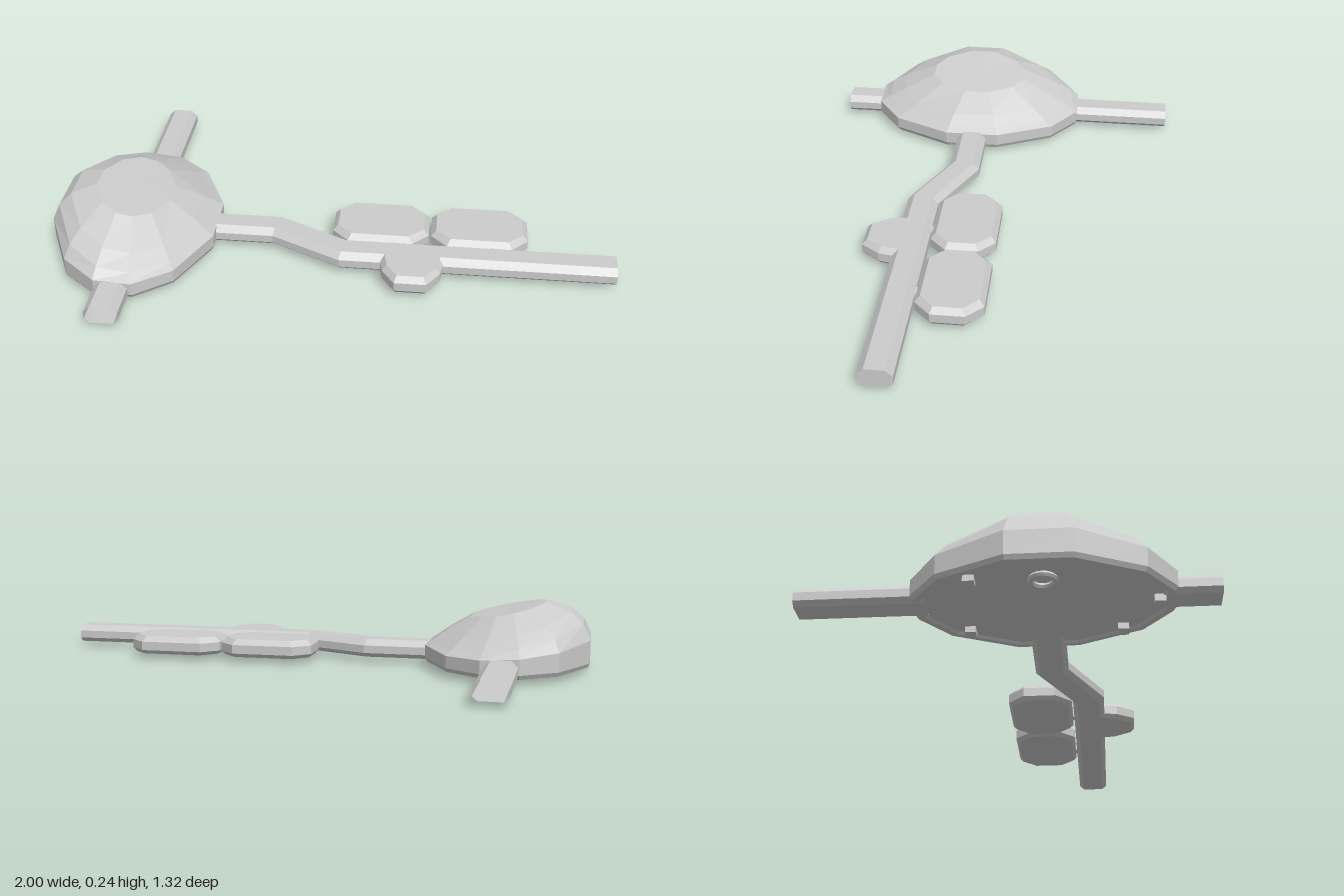
import * as THREE from 'three';

const material = new THREE.MeshStandardMaterial({ color: 0xcccccc, flatShading: true, side: THREE.DoubleSide });

function addMesh(group, name, geometry) {
  const mesh = new THREE.Mesh(geometry, material);
  mesh.name = name;
  group.add(mesh);
  return mesh;
}

// Skin rings of Vector3, each counterclockwise seen from the end of the stack.
function loft(rings, capStart, capEnd) {
  const pos = [];
  const tri = (a, b, c) => [a, b, c].forEach(p => pos.push(p.x, p.y, p.z));
  const n = rings[0].length;
  const cap = (ring, flip) => {
    const mid = ring.reduce((s, p) => s.add(p), new THREE.Vector3()).divideScalar(n);
    ring.forEach((p, i) => {
      const q = ring[(i + 1) % n];
      if (flip) tri(mid, q, p); else tri(mid, p, q);
    });
  };
  for (let r = 0; r + 1 < rings.length; r++) {
    const a = rings[r], b = rings[r + 1];
    for (let i = 0; i < n; i++) {
      const j = (i + 1) % n;
      tri(a[i], a[j], b[j]);
      tri(a[i], b[j], b[i]);
    }
  }
  if (capStart) cap(rings[0], true);
  if (capEnd) cap(rings[rings.length - 1], false);
  const g = new THREE.BufferGeometry();
  g.setAttribute('position', new THREE.Float32BufferAttribute(pos, 3));
  g.computeVertexNormals();
  return g;
}

// Chamfered channel section: [sideways, height]
const section = [
  [-0.04, 0.018], [0.04, 0.018], [0.057, 0.034], [0.057, 0.062],
  [0.034, 0.084], [-0.034, 0.084], [-0.057, 0.062], [-0.057, 0.034],
];

// Sweep the section along [x, z] points with mitred bends.
function channel(path, capEnd) {
  const pts = path.map(([x, z]) => new THREE.Vector2(x, z));
  const normal = (a, b) => {
    const d = b.clone().sub(a).normalize();
    return new THREE.Vector2(d.y, -d.x);
  };
  const rings = pts.map((p, i) => {
    const n0 = normal(pts[Math.max(i - 1, 0)], pts[Math.max(i, 1)]);
    const last = pts.length - 1;
    const n1 = normal(pts[Math.min(i, last - 1)], pts[Math.min(i + 1, last)]);
    const m = n0.clone().add(n1).normalize();
    m.divideScalar(m.dot(n0));
    return section.map(([u, y]) => new THREE.Vector3(p.x + m.x * u, y, p.y + m.y * u));
  });
  return loft(rings, false, capEnd);
}

// Flat slab with chamfered edges; outline is [dx, dz] around the centre.
function slab(cx, cz, outline, hx, hz) {
  const levels = [[0.012, 0.018], [0, 0.032], [0, 0.064], [0.018, 0.084]];
  return loft(levels.map(([inset, y]) => outline.map(([x, z]) => new THREE.Vector3(
    cx + x * (1 - inset / hx), y, cz + z * (1 - inset / hz)))), true, true);
}

// Twelve-sided oval shell whose crown leans towards -x.
function shell() {
  const quarter = [[1, 0.25], [0.655, 0.77], [0.225, 1]];
  const flipX = ([x, z]) => [-x, z], flipZ = ([x, z]) => [x, -z];
  const back = [...quarter.map(flipZ), ...quarter.map(flipZ).map(flipX).reverse()];
  const front = [...back].reverse().map(flipZ);
  const outline = [...back, ...front];
  // scale, mean height, lean along x, drop towards the z ends
  const levels = [
    [0.9, 0.028, 0, 0], [0.92, 0.02, 0, 0], [0.975, 0.02, 0, 0], [1, 0.035, 0, 0],
    [1, 0.102, 0.018, 0.017], [0.91, 0.143, 0.037, 0.033],
    [0.76, 0.18, 0.041, 0.035], [0.45, 0.214, 0.027, 0.006],
  ];
  return loft(levels.map(([s, y, lean, drop]) => outline.map(([x, z]) => new THREE.Vector3(
    -0.71 + 0.29 * s * x, y - lean * x - drop * Math.abs(z), 0.115 + 0.41 * s * z))), true, true);
}

export function createModel() {
  const group = new THREE.Group();

  addMesh(group, 'domeShell', shell());

  // Channels leaving the dome
  addMesh(group, 'backChannel', channel([[-0.715, -0.25], [-0.715, -0.66]], false));
  addMesh(group, 'frontChannel', channel([[-0.715, 0.48], [-0.715, 0.66]], false));
  addMesh(group, 'longChannel', channel([[-0.48, 0.115], [-0.2, 0.115], [0.05, 0.235], [0.87, 0.235], [1, 0.235]], true));

  // Two octagonal pads behind the long channel
  const hx = 0.173, hz = 0.116, c = 0.058;
  const octagon = [
    [hx, hz - c], [hx, -hz + c], [hx - c, -hz], [-hx + c, -hz],
    [-hx, -hz + c], [-hx, hz - c], [-hx + c, hz], [hx - c, hz],
  ];
  [0.173, 0.527].forEach((x, i) => {
    addMesh(group, 'pad' + (i + 1), slab(x, 0.057, octagon, hx, hz));
    const link = addMesh(group, 'padLink' + (i + 1), new THREE.BoxGeometry(0.035, 0.03, 0.03));
    link.position.set(x + 0.055, 0.05, 0.175);
  });

  // Tapered tab in front of the long channel
  const tab = [[0.115, 0.02], [0.115, -0.03], [-0.115, -0.03], [-0.115, 0.02],
    [-0.1, 0.1], [-0.055, 0.165], [0.055, 0.165], [0.1, 0.1]];
  addMesh(group, 'frontTab', slab(0.292, 0.24, tab, 0.115, 0.165));

  // Ring and small feet under the dome
  const ring = addMesh(group, 'undersideRing', new THREE.TorusGeometry(0.038, 0.01, 6, 16));
  ring.rotation.x = Math.PI / 2;
  ring.position.set(-0.87, 0.018, 0.12);
  [[-0.54, 0.36], [-0.55, -0.13], [-0.73, 0.47], [-0.88, -0.1]].forEach(([x, z], i) => {
    const foot = addMesh(group, 'foot' + (i + 1), new THREE.BoxGeometry(0.045, 0.024, 0.035));
    foot.position.set(x, i === 2 ? 0.012 : 0.019, z);
  });

  return group;
}
